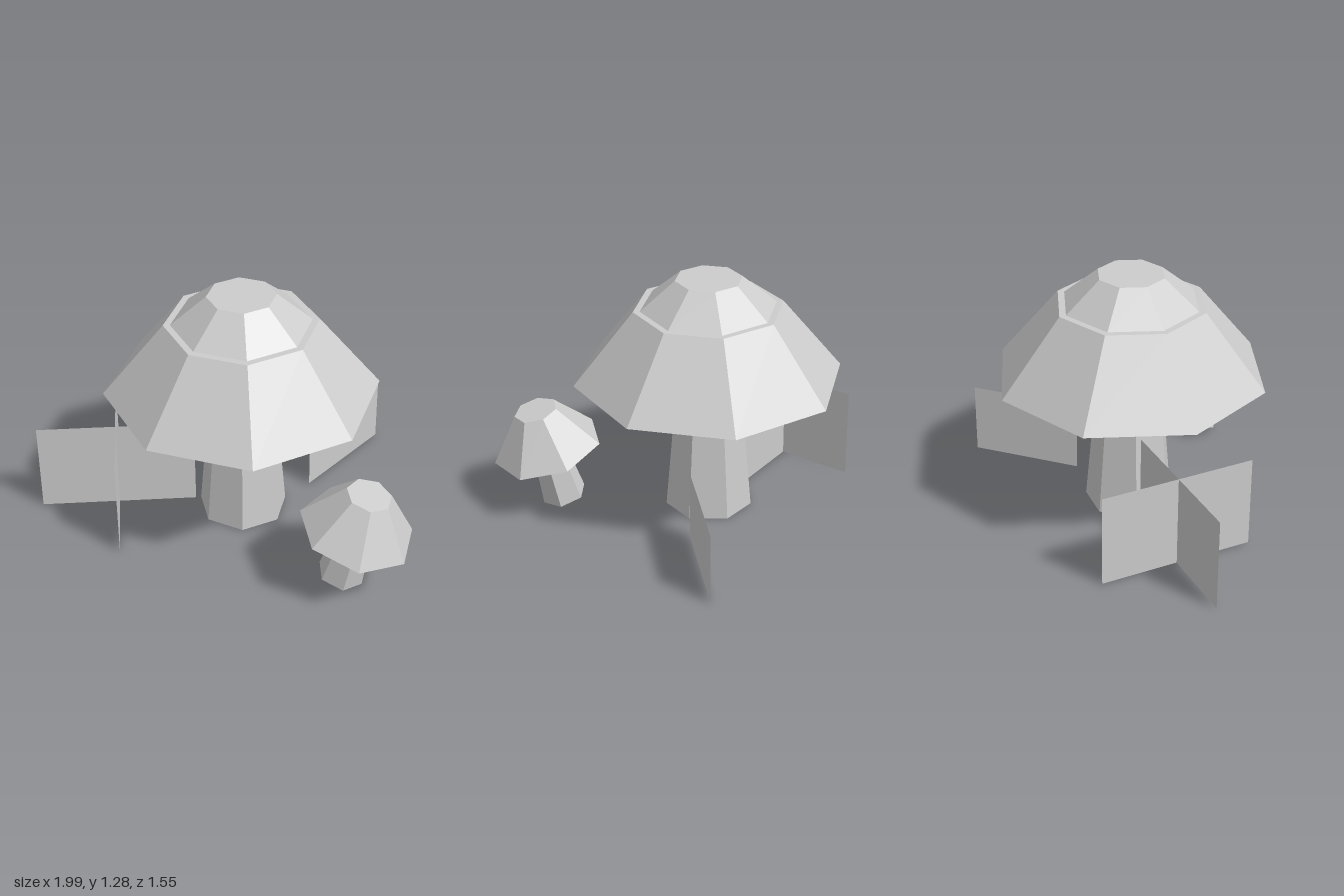
import * as THREE from 'three';

export function createModel() {
  const model = new THREE.Group();
  const grey = new THREE.MeshStandardMaterial({ color: 0xcccccc, side: THREE.DoubleSide, flatShading: true });
  grey.name = 'plain grey';

  // Faceted tapered ring standing on y; theta turns the first corner away from +z
  function tier(name, rTop, rBottom, y0, y1, sides, theta, open, parent) {
    const geo = new THREE.CylinderGeometry(rTop, rBottom, y1 - y0, sides, 1, open, theta);
    geo.translate(0, (y0 + y1) / 2, 0);
    const mesh = new THREE.Mesh(geo, grey);
    mesh.name = name;
    parent.add(mesh);
  }

  // Upright flat card between two ground points
  function card(name, [x0, z0], [x1, z1], height) {
    const geo = new THREE.PlaneGeometry(Math.hypot(x1 - x0, z1 - z0), height);
    const mesh = new THREE.Mesh(geo, grey);
    mesh.name = name;
    mesh.position.set((x0 + x1) / 2, height / 2, (z0 + z1) / 2);
    mesh.rotation.y = -Math.atan2(z1 - z0, x1 - x0);
    model.add(mesh);
  }

  // Large mushroom: open seven-sided stem, eight-sided two-tier cap
  const large = new THREE.Group();
  large.name = 'largeMushroom';
  large.position.set(-0.056, 0, 0.097);
  tier('largeStem', 0.165, 0.23, 0, 0.74, 7, Math.PI / 7, true, large);
  tier('largeCapLower', 0.385, 0.697, 0.74, 1.125, 8, -0.254, false, large);
  tier('largeCapUpper', 0.172, 0.35, 1.125, 1.277, 8, -0.254, false, large);
  model.add(large);

  // Small leaning mushroom
  const small = new THREE.Group();
  small.name = 'smallMushroom';
  small.position.set(0.645, 0.032, 0.422);
  small.rotation.z = -0.242;
  tier('smallStem', 0.0875, 0.118, 0, 0.316, 6, Math.PI / 6, true, small);
  tier('smallCap', 0.1135, 0.289, 0.316, 0.551, 7, Math.PI / 7, false, small);
  model.add(small);

  // Grass cards: a crossed pair and a single one
  card('grassCrossA', [-1, 0.572], [-0.3, 0.168], 0.485);
  card('grassCrossB', [-0.852, 0.02], [-0.448, 0.72], 0.485);
  card('grassSingle', [0.192, -0.205], [0.345, -0.775], 0.38);

  return model;
}
